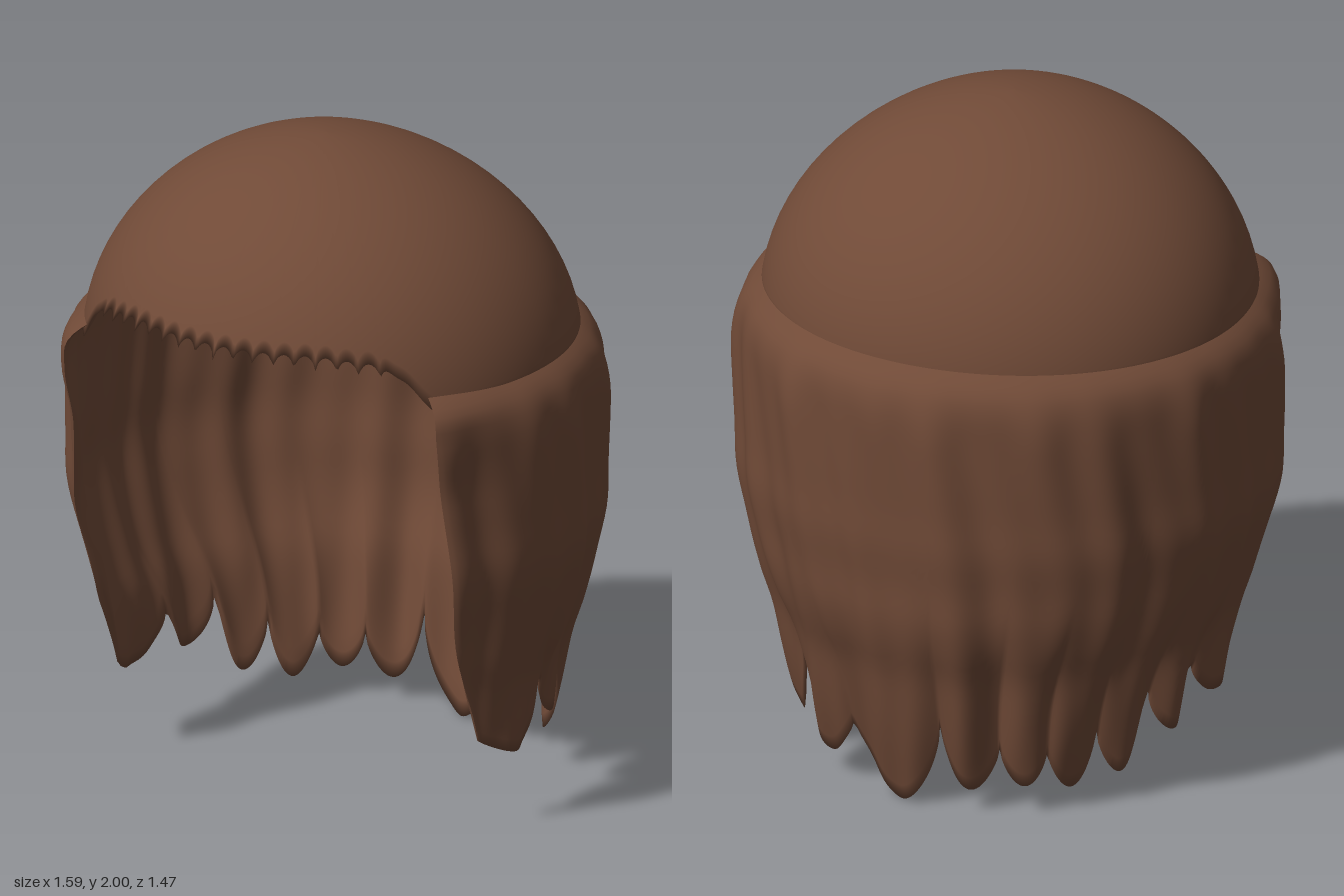
import * as THREE from 'three';

const CENTRE_Z = 0.04;
const TOOTH = 0.09;
const smooth = THREE.MathUtils.smoothstep;
const lerp = THREE.MathUtils.lerp;

// Smooth value lookup from [y, value] pairs listed from top to bottom
function profile(pairs) {
  const pts = new THREE.SplineCurve(pairs.map(p => new THREE.Vector2(p[1], p[0]))).getPoints(300);
  return y => {
    if (y >= pts[0].y) return pts[0].x;
    for (let i = 1; i < pts.length; i++) {
      const a = pts[i - 1], b = pts[i];
      if (y >= b.y) return lerp(a.x, b.x, (a.y - y) / Math.max(a.y - b.y, 1e-6));
    }
    return pts[pts.length - 1].x;
  };
}

// Folded sheet: outer face runs from top to hem, then the inner face runs back up
function foldedSheet(cols, rows, closed, point) {
  const pos = [], index = [];
  const nu = closed ? cols : cols + 1, nv = 2 * rows + 1;
  for (let i = 0; i < nu; i++) {
    for (let j = 0; j < nv; j++) {
      const inner = j > rows;
      const v = (inner ? 2 * rows - j : j) / rows;
      pos.push(...point(i / cols, v, inner));
    }
  }
  for (let i = 0; i < cols; i++) {
    for (let j = 0; j < nv - 1; j++) {
      const a = i * nv + j, c = ((i + 1) % nu) * nv + j;
      index.push(a, a + 1, c, a + 1, c + 1, c);
    }
  }
  const g = new THREE.BufferGeometry();
  g.setAttribute('position', new THREE.Float32BufferAttribute(pos, 3));
  g.setIndex(index);
  g.computeVertexNormals();
  return g;
}

// Rounded crown with a scalloped fringe along the front
function crownGeometry() {
  const edgeY = b => {
    const a = Math.abs(b);
    const scallop = 0.042 * Math.sqrt(Math.abs(Math.sin(b * Math.PI / TOOTH))) * (1 - smooth(a, 0.7, 0.82));
    return lerp(1.52 + scallop - 0.03 * smooth(a, 0.4, 0.8), 1.38, smooth(a, 0.79, 0.96));
  };
  return foldedSheet(600, 22, true, (u, v, inner) => {
    const b = (u - 0.5) * 2 * Math.PI;
    const theta = v * Math.acos((edgeY(b) - 1.34) / 0.66);
    const thick = inner ? 0.03 * Math.sqrt(1 - v ** 12) : 0;
    const r = 0.725 * Math.sin(theta) ** 1.1 - thick * Math.sin(theta);
    const y = 1.34 + (0.66 - thick) * Math.cos(theta);
    const depth = Math.cos(b) < 0 ? 0.945 : 1;
    // the summit sits slightly forward of the middle
    const lean = 0.04 * Math.cos(theta) ** 2;
    return [r * Math.sin(b), y, CENTRE_Z + lean + r * Math.cos(b) * depth];
  });
}

// Locks along the hem: [start, notch height, tip height], from right to left
const LOCKS = [
  [-1, 0.3, 0.23], [-0.74, 0.36, 0.2], [-0.58, 0.35, 0.1], [-0.45, 0.24, 0.07],
  [-0.32, 0.2, 0.09], [-0.2, 0.2, 0.07], [-0.05, 0.27, 0], [0.21, 0.22, 0.08],
  [0.42, 0.34, 0.12], [0.59, 0.43, 0.25], [0.74, 0.42, 0.22], [1, 0.3, 0.3],
];

function lockAt(t) {
  let k = 0;
  while (k < LOCKS.length - 2 && t > LOCKS[k + 1][0]) k++;
  const a = LOCKS[k], b = LOCKS[k + 1];
  const f = THREE.MathUtils.clamp((t - a[0]) / (b[0] - a[0]), 0, 1);
  const arch = Math.max(Math.sin(Math.PI * f), 0);
  const notch = lerp(a[1], b[1], f);
  return { arch, hem: lerp(notch, a[2], arch ** 0.65) };
}

// Long hair hanging round the sides and back, open at the front
function curtainGeometry() {
  const radius = profile([
    [1.43, 0.695], [1.4, 0.74], [1.35, 0.775], [1.25, 0.79], [1.0, 0.785],
    [0.85, 0.782], [0.7, 0.747], [0.55, 0.7], [0.42, 0.655], [0.2, 0.62], [0, 0.58],
  ]);
  const backDepth = profile([
    [1.43, 0.965], [1.1, 0.965], [0.8, 0.97], [0.6, 1.025], [0.4, 1.035], [0.2, 1.01], [0, 0.97],
  ]);
  const halfAngle = profile([
    [1.43, 2.23], [1.3, 2.23], [1.0, 2.17], [0.6, 2.08], [0.3, 1.91], [0, 1.85],
  ]);
  return foldedSheet(320, 38, false, (u, v, inner) => {
    const t = 1 - 2 * u;
    const { arch, hem } = lockAt(t);
    const y = lerp(1.43, hem, v ** 1.25);
    const a = t * halfAngle(y);
    // wavy folds that deepen below the rim, and rounded locks near the hem
    const wave = 0.45 * Math.sin(11 * a + 2 * Math.sin(2.2 * y) + 1)
      + 0.35 * Math.sin(19 * a - 1.8 * y) + 0.25 * Math.sin(30 * a + 2.5 * Math.sin(3 * y));
    const fold = 0.018 * wave * (1 - smooth(y, 1.2, 1.43));
    const bulge = 0.035 * (arch - 0.6) * (1 - smooth(y, 0.25, 0.75));
    const edge = Math.sqrt(Math.max(1 - Math.abs(t) ** 30, 0));
    // the front borders flare beside the fringe and curl in towards the face below it
    const border = smooth(Math.abs(t), 0.82, 1);
    const curl = border * (0.02 * smooth(y, 1.3, 1.4)
      - 0.035 * smooth(y, 0.4, 0.7) * (1 - smooth(y, 1.1, 1.35)));
    const thick = inner ? 0.027 * edge * Math.sqrt(1 - v ** 10) : 0;
    const r = radius(y) + (fold + bulge) * edge + curl - thick;
    const c = Math.cos(a);
    const depth = lerp(1, backDepth(y), smooth(c, -0.1, 0.4));
    return [r * Math.sin(a), y, CENTRE_Z - r * c * depth];
  });
}

export function createModel() {
  const model = new THREE.Group();
  model.name = 'wig';
  const hair = new THREE.MeshStandardMaterial({ color: 0x704a37, side: THREE.DoubleSide });
  hair.name = 'brown hair';
  const parts = { crownWithFringe: crownGeometry(), hangingHair: curtainGeometry() };
  for (const [name, geometry] of Object.entries(parts)) {
    const mesh = new THREE.Mesh(geometry, hair);
    mesh.name = name;
    model.add(mesh);
  }
  return model;
}
